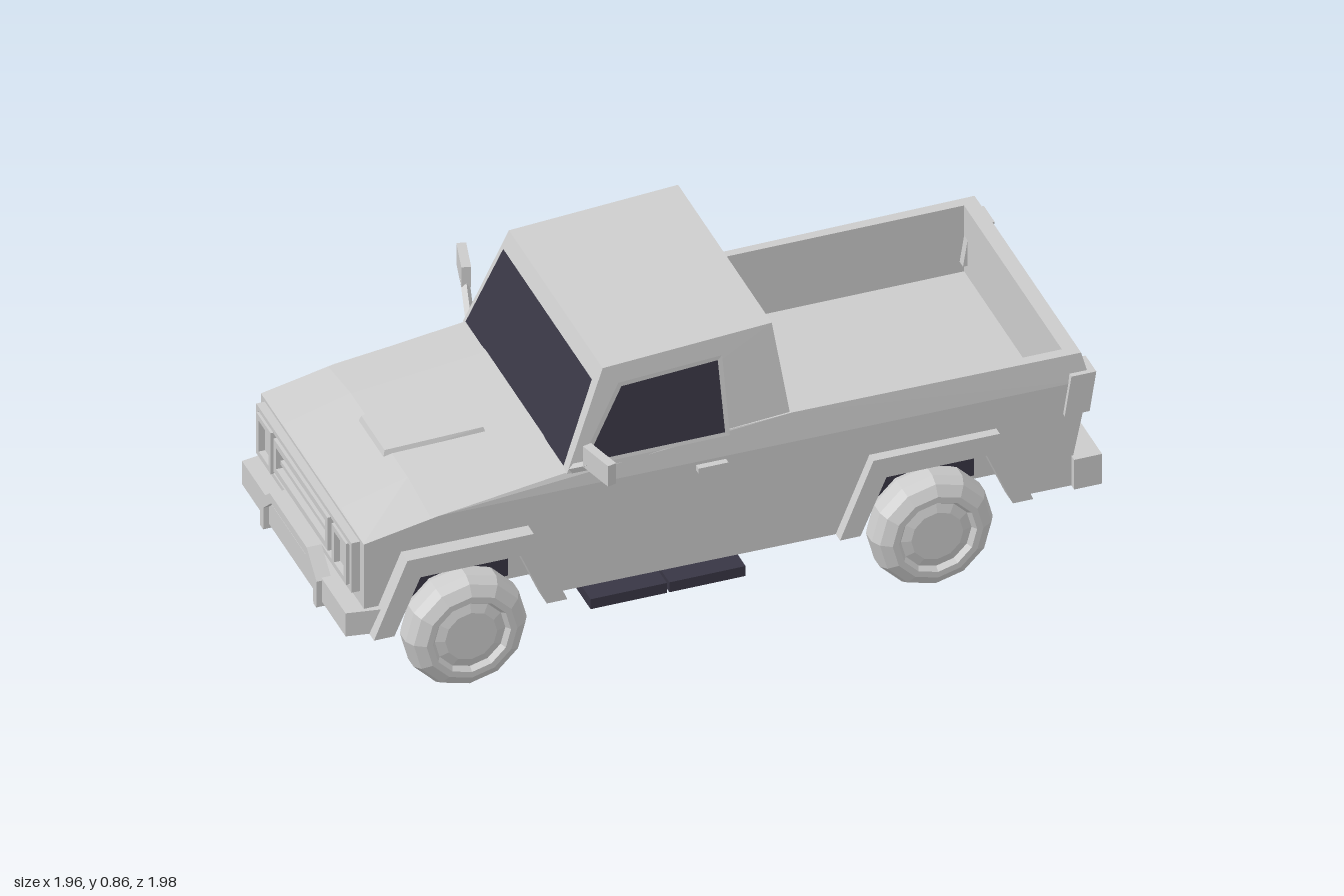
import * as THREE from 'three';

const paint = new THREE.MeshStandardMaterial({ color: 0xcccccc, flatShading: true, side: THREE.DoubleSide });
const dark = new THREE.MeshStandardMaterial({ color: 0x383644, flatShading: true, side: THREE.DoubleSide });

export function createModel() {
  const model = new THREE.Group();
  const truck = new THREE.Group();
  truck.name = 'truck';
  truck.rotation.y = -0.773; // the truck stands diagonally
  model.add(truck);

  const add = (name, geo, mat = paint, parent = truck) => {
    const mesh = new THREE.Mesh(geo, mat);
    mesh.name = name;
    parent.add(mesh);
    return mesh;
  };
  const box = (name, w, h, d, x, y, z, mat) =>
    add(name, new THREE.BoxGeometry(w, h, d).translate(x, y, z), mat);
  const outline = (pts) => new THREE.Shape(pts.map(([a, b]) => new THREE.Vector2(a, b)));
  const extrude = (shape, depth) =>
    new THREE.ExtrudeGeometry(shape, { depth, bevelEnabled: false }).translate(0, 0, -depth / 2);
  // side profile [z, y] extruded across x, centred on x = 0
  const sideways = (pts, depth) => extrude(outline(pts), depth).rotateY(-Math.PI / 2);
  // box whose plan rectangles differ at bottom and top: rule(sx, sy, sz) -> [x, y, z]
  const shapedBox = (rule) => {
    const geo = new THREE.BoxGeometry(2, 2, 2);
    const p = geo.attributes.position;
    for (let i = 0; i < p.count; i++) p.setXYZ(i, ...rule(p.getX(i), p.getY(i), p.getZ(i)));
    geo.computeVertexNormals();
    return geo;
  };
  // surface through rows of points
  const grid = (rows) => {
    const n = rows[0].length, idx = [];
    for (let r = 0; r < rows.length - 1; r++) for (let c = 0; c < n - 1; c++) {
      const a = r * n + c;
      idx.push(a, a + n, a + 1, a + 1, a + n, a + n + 1);
    }
    const geo = new THREE.BufferGeometry();
    geo.setAttribute('position', new THREE.Float32BufferAttribute(rows.flat(2), 3));
    geo.setIndex(idx);
    geo.computeVertexNormals();
    return geo;
  };

  const axles = [0.71, -0.544];
  const halfWidth = (z) => 0.374 - 0.012 * z;
  const arch = (z) => [[z - 0.21, 0.21], [z - 0.14, 0.375], [z + 0.14, 0.375], [z + 0.21, 0.21]];
  const bottom = [[-0.92, 0.21], ...arch(axles[1]), ...arch(axles[0]), [0.98, 0.21]];
  const top = [[0.98, 0.475], [0.78, 0.515], [0.43, 0.56], [-0.17, 0.6]];
  const tail = [[-0.945, 0.6], [-0.965, 0.52], [-0.92, 0.3]];

  // body core with the open bed, and the outer side skins
  add('bodyCore', sideways([...bottom, ...top, [-0.205, 0.6], [-0.205, 0.4], [-0.905, 0.4], [-0.905, 0.6], ...tail], 0.69));
  for (const s of [1, -1]) {
    const skin = sideways([...bottom, ...top, ...tail], 0.04);
    const p = skin.attributes.position;
    for (let i = 0; i < p.count; i++) {
      const outer = p.getX(i) * s > 0, z = p.getZ(i), y = p.getY(i);
      p.setX(i, s * (outer ? halfWidth(z) - (y > 0.55 ? 0.01 : 0) : 0.344));
    }
    skin.computeVertexNormals();
    add(s > 0 ? 'leftBodySide' : 'rightBodySide', skin);
  }
  for (const z of axles) {
    box('wheelBay', 0.54, 0.165, 0.43, 0, 0.2925, z);
    for (const s of [1, -1]) box('archLiner', 0.008, 0.15, 0.3, s * 0.273, 0.3, z, dark);
  }

  // crowned hood and its raised panel
  add('hood', grid([[0.98, 0.476, 0.484], [0.8, 0.514, 0.535], [0.43, 0.562, 0.575]].map(([z, e, c]) =>
    [[-0.36, e, z], [-0.2, c, z], [0.2, c, z], [0.36, e, z]])));
  add('hoodPanel', shapedBox((x, y, z) => [
    x * ((z > 0 ? 0.09 : 0.12) - (y > 0 ? 0.008 : 0)),
    (z > 0 ? 0.532 : 0.56) + y * 0.013,
    0.69 + z * (y > 0 ? 0.127 : 0.135)]));

  // cab: tapered block with panes laid on its faces
  const cab = (sx, sy, sz) => sy > 0
    ? [sx * 0.33, sz > 0 ? 0.832 : 0.86, sz > 0 ? 0.325 : -0.13]
    : [sx * 0.366, 0.56, sz > 0 ? 0.435 : -0.172];
  add('cab', shapedBox(cab));
  const slopeX = (y) => 0.366 - (y - 0.56) * 0.126;
  for (const s of [1, -1]) {
    const side = (z, y, out) => [s * (slopeX(y) + out), y, z];
    const pane = [[0.385, 0.585], [0.28, 0.775], [0.02, 0.79], [0.01, 0.585]];
    const q = pane.map(([z, y]) => side(z, y, 0.005));
    add('sideWindow', grid([[q[0], q[3]], [q[1], q[2]]]), dark);
    // thin trim around the side window
    const trim = [[0.405, 0.575], [0.288, 0.787], [0.008, 0.802], [-0.002, 0.575]].map(([z, y]) => side(z, y, 0.006));
    const a = [...q, q[0]], b = [...trim, trim[0]];
    add('windowTrim', grid([a, b]));
    box('doorHandle', 0.018, 0.016, 0.08, s * 0.382, 0.5, 0.05);
  }
  const windZ = (y) => 0.435 - (y - 0.56) * 0.404 + 0.006;
  const rearZ = (y) => -0.172 + (y - 0.56) * 0.14 - 0.006;
  const pane = (name, zAt, y0, y1, x0, x1) => add(name, grid([
    [[-x0, y0, zAt(y0)], [x0, y0, zAt(y0)]], [[-x1, y1, zAt(y1)], [x1, y1, zAt(y1)]]]), dark);
  pane('windshield', windZ, 0.572, 0.792, 0.345, 0.312);
  pane('rearWindow', rearZ, 0.62, 0.832, 0.335, 0.31);

  // wheels: twelve-sided tyres with a recessed hub
  const tyre = [[0, -0.05], [0.12, -0.06], [0.15, -0.045], [0.163, -0.02], [0.163, 0.02], [0.15, 0.045],
    [0.122, 0.062], [0.105, 0.062], [0.095, 0.048], [0.07, 0.056], [0, 0.056]].map(([r, h]) => new THREE.Vector2(r, h));
  for (const z of axles) for (const s of [1, -1]) {
    const wheel = add('wheel', new THREE.LatheGeometry(tyre, 12));
    wheel.rotation.z = -s * Math.PI / 2;
    wheel.position.set(s * 0.356, 0.163, z);
    // angular fender flare
    const flare = sideways([[-0.26, 0.21], [-0.17, 0.43], [0.17, 0.43], [0.26, 0.21],
      [0.205, 0.21], [0.135, 0.372], [-0.135, 0.372], [-0.205, 0.21]], 0.06);
    add('fenderFlare', flare.translate(s * 0.378, 0, z));
  }

  // front end: bumper, guard hoop, grille and lamps
  add('frontBumper', shapedBox((x, y, z) => [x * (z > 0 ? 0.365 : 0.385), y > 0 ? 0.28 : 0.21, z > 0 ? 1.03 : 0.91]));
  const hoop = [[-0.2, 0.2], [-0.2, 0.275], [-0.13, 0.335], [0.13, 0.335], [0.2, 0.275], [0.2, 0.2],
    [0.175, 0.2], [0.175, 0.262], [0.12, 0.31], [-0.12, 0.31], [-0.175, 0.262], [-0.175, 0.2]];
  add('guardHoop', extrude(outline(hoop), 0.04).translate(0, 0, 1.025));
  const frame = (name, x, y, w, h, t, d, z) => {
    const rect = (a, b) => [[-a, -b], [a, -b], [a, b], [-a, b]];
    const shape = outline(rect(w / 2, h / 2));
    shape.holes.push(new THREE.Path(rect(w / 2 - t, h / 2 - t).reverse().map(([a, b]) => new THREE.Vector2(a, b))));
    add(name, extrude(shape, d).translate(x, y, z));
  };
  frame('grilleSurround', 0, 0.392, 0.67, 0.15, 0.014, 0.03, 0.988);
  frame('grilleFrame', 0, 0.405, 0.38, 0.1, 0.018, 0.04, 0.992);
  for (const y of [0.39, 0.42]) box('grilleBar', 0.35, 0.012, 0.03, 0, y, 0.985);
  for (const s of [1, -1]) {
    frame('headlampFrame', s * 0.265, 0.392, 0.1, 0.125, 0.016, 0.04, 0.99);
    box('headlamp', 0.06, 0.085, 0.02, s * 0.265, 0.392, 0.985);
    box('towHook', 0.02, 0.04, 0.03, s * 0.187, 0.215, 1.03);
  }

  // rear end: stepped bumper, lamps and tailgate badge plate
  add('rearBumper', extrude(outline([[-0.405, 0.21], [0.405, 0.21], [0.405, 0.3], [0.165, 0.3], [0.11, 0.25],
    [-0.11, 0.25], [-0.165, 0.3], [-0.405, 0.3]]), 0.075).translate(0, 0, -0.9525));
  add('bumperStepTrim', extrude(outline([[0.19, 0.3], [0.165, 0.3], [0.11, 0.262], [-0.11, 0.262], [-0.165, 0.3], [-0.19, 0.3],
    [-0.12, 0.24], [0.12, 0.24]]), 0.06).translate(0, 0, -0.965));
  for (const s of [1, -1]) {
    add('tailLamp', shapedBox((x, y, z) => [s * 0.358 + x * 0.038, 0.49 + y * 0.058,
      (z > 0 ? -0.905 : -0.972) + (y > 0 ? -0.006 : 0.012)]));
  }
  const plate = add('tailgateLatch', new THREE.CylinderGeometry(0.045, 0.05, 0.04, 6).rotateY(Math.PI / 2).rotateX(-Math.PI / 2));
  plate.scale.set(1.3, 0.75, 1);
  plate.position.set(0, 0.46, -0.955);

  // door mirrors
  for (const s of [1, -1]) {
    const mirror = new THREE.Group();
    mirror.name = s > 0 ? 'leftMirror' : 'rightMirror';
    truck.add(mirror);
    const arm = new THREE.LineCurve3(new THREE.Vector3(s * 0.355, 0.565, 0.42), new THREE.Vector3(s * 0.445, 0.63, 0.4));
    add('mirrorArm', new THREE.TubeGeometry(arm, 1, 0.012, 4), paint, mirror);
    const head = add('mirrorHead', new THREE.BoxGeometry(0.11, 0.062, 0.025), paint, mirror);
    head.position.set(s * 0.478, 0.648, 0.39);
    head.rotation.y = s * 0.25;
  }

  // two-part running board on the left
  for (const z of [0.08, 0.292]) box('runningBoard', 0.11, 0.03, 0.205, 0.372, 0.193, z, dark);

  return model;
}
